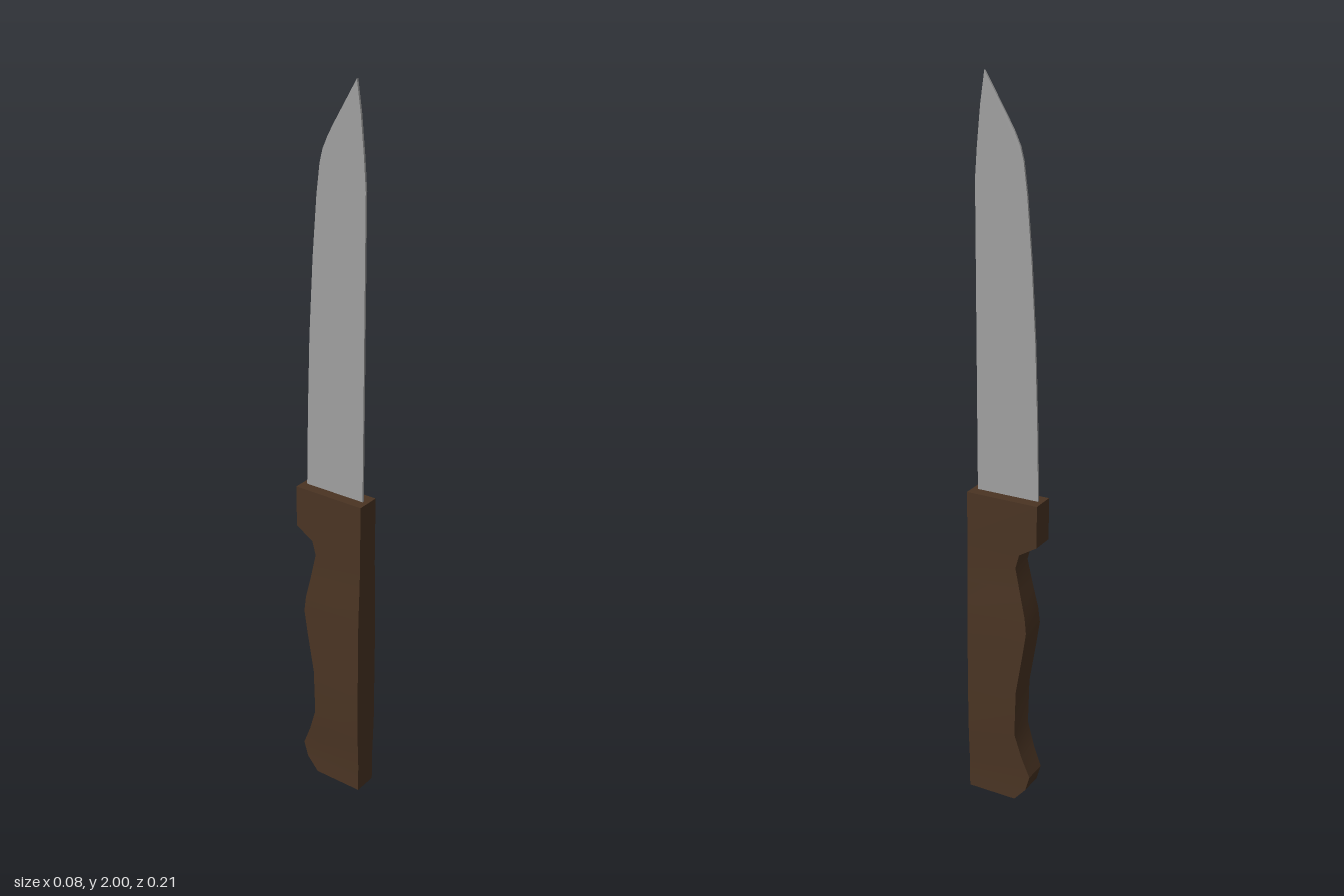
import * as THREE from 'three';
import { toCreasedNormals } from 'three/addons/utils/BufferGeometryUtils.js';

const steel = new THREE.MeshStandardMaterial({ name: 'steel', color: 0xa0a0a0 });
const wood = new THREE.MeshStandardMaterial({ name: 'darkWood', color: 0x4a3423 });

// Handle sections from bottom to top: [height, grip edge z, half width]
const SECTIONS = [
  [0, -0.04, 0.034], [0.04, -0.075, 0.034], [0.085, -0.088, 0.034],
  [0.145, -0.064, 0.037], [0.215, -0.043, 0.04], [0.35, -0.047, 0.04],
  [0.48, -0.069, 0.04], [0.54, -0.078, 0.04], [0.585, -0.073, 0.039],
  [0.655, -0.057, 0.036], [0.725, -0.042, 0.034], [0.765, -0.053, 0.034],
  [0.797, -0.105, 0.034], [0.915, -0.105, 0.034],
];
const SPINE = 0.105;

// Rectangular rings joined into a closed, contoured grip
function handleGeometry() {
  const positions = [], index = [];
  for (const [y, back, w] of SECTIONS) {
    positions.push(w, y, SPINE, w, y, back, -w, y, back, -w, y, SPINE);
  }
  for (let i = 0; i < SECTIONS.length - 1; i++) {
    for (let j = 0; j < 4; j++) {
      const a = i * 4 + j, b = i * 4 + (j + 1) % 4;
      index.push(a, b, b + 4, a, b + 4, a + 4);
    }
  }
  const t = (SECTIONS.length - 1) * 4;
  index.push(t, t + 1, t + 2, t, t + 2, t + 3, 0, 2, 1, 0, 3, 2);
  const geometry = new THREE.BufferGeometry();
  geometry.setAttribute('position', new THREE.Float32BufferAttribute(positions, 3));
  geometry.setIndex(index);
  return toCreasedNormals(geometry, 0.6);
}

// Thin blade outline given as [z, y], with a straight spine and a curved edge
function bladeGeometry() {
  const outline = [
    [0.09, 0.9], [-0.092, 0.9], [-0.087, 1.13], [-0.08, 1.34], [-0.068, 1.55],
    [-0.055, 1.71], [-0.045, 1.79], [-0.036, 1.825], [-0.02, 1.86], [0, 1.895],
    [0.063, 2], [0.075, 1.92], [0.085, 1.82], [0.091, 1.74],
  ];
  const shape = new THREE.Shape(outline.map(([z, y]) => new THREE.Vector2(-z, y)));
  const geometry = new THREE.ExtrudeGeometry(shape, { depth: 0.006, bevelEnabled: false });
  return geometry.rotateY(Math.PI / 2).translate(-0.004, 0, 0);
}

export function createModel() {
  const knife = new THREE.Group();
  knife.name = 'knife';
  const handle = new THREE.Mesh(handleGeometry(), wood);
  handle.name = 'handle';
  const blade = new THREE.Mesh(bladeGeometry(), steel);
  blade.name = 'blade';
  knife.add(handle, blade);
  return knife;
}
